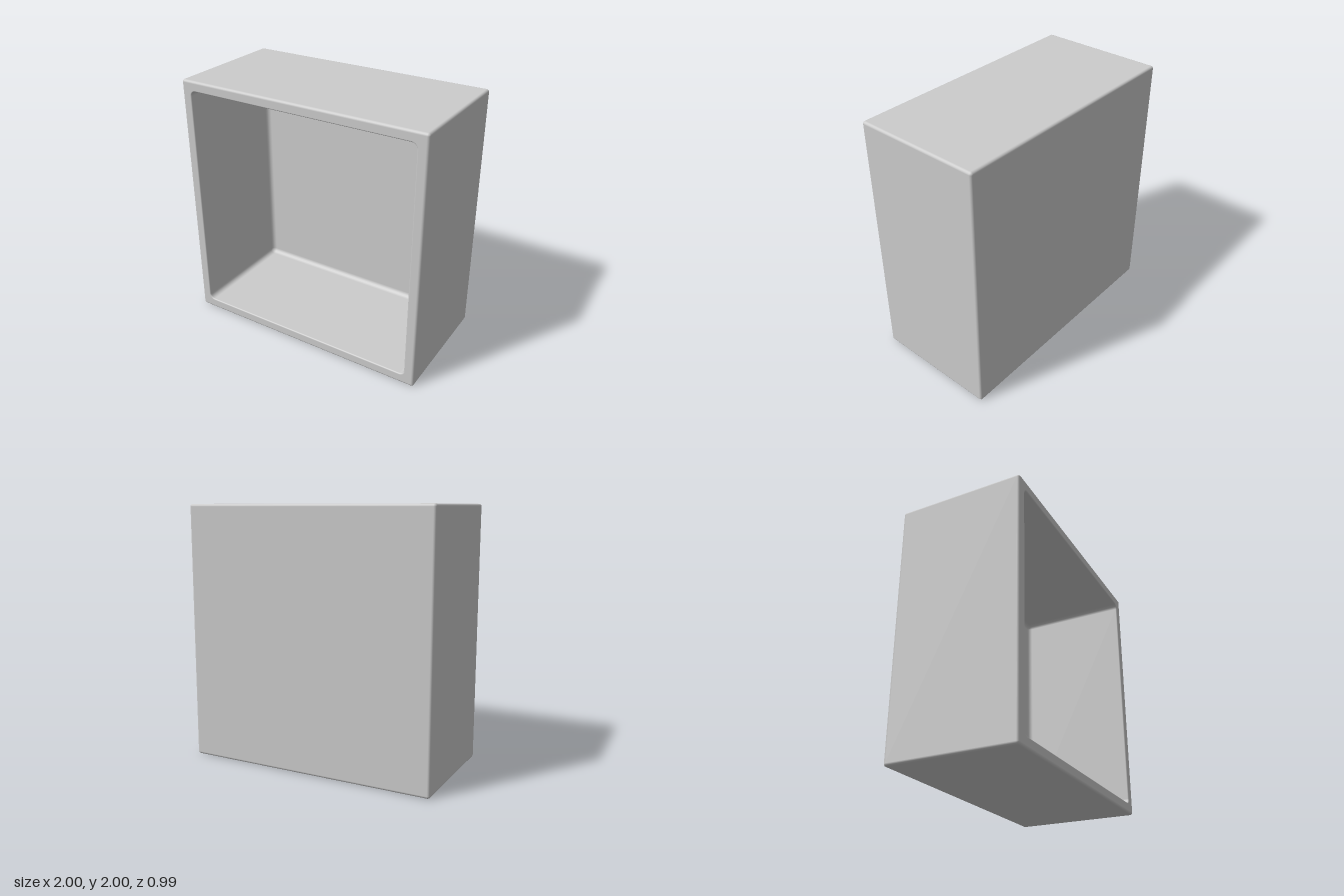
import * as THREE from 'three';

const STEPS = 5; // segments per rounded edge or corner

// Ring of a rounded square: half size h, corner radius r, depth z, profile normal (nr, nz)
const ring = (h, r, z, nr, nz) => ({ h, r, z, nr, nz });

// Quarter-round edge. side +1 is convex, -1 is a hollow fillet (normal faces the arc centre)
function roundEdge(h, r, z, radius, from, to, side) {
  const rings = [];
  for (let i = 0; i <= STEPS; i++) {
    const a = THREE.MathUtils.lerp(from, to, i / STEPS);
    const c = Math.cos(a), s = Math.sin(a);
    rings.push(ring(h + radius * c, r + radius * c, z + radius * s, side * c, side * s));
  }
  return rings;
}

// Skin a list of rings into one surface with exact smooth normals
function skin(rings) {
  const position = [], normal = [], index = [];
  const count = 4 * (STEPS + 1);
  for (const { h, r, z, nr, nz } of rings) {
    for (let k = 0; k < 4; k++) {
      const mid = (k + 0.5) * Math.PI / 2;
      const cx = Math.sign(Math.cos(mid)) * (h - r), cy = Math.sign(Math.sin(mid)) * (h - r);
      for (let i = 0; i <= STEPS; i++) {
        const a = (k + i / STEPS) * Math.PI / 2;
        position.push(cx + r * Math.cos(a), cy + r * Math.sin(a), z);
        normal.push(nr * Math.cos(a), nr * Math.sin(a), nz);
      }
    }
  }
  for (let i = 0; i < rings.length - 1; i++) {
    for (let j = 0; j < count; j++) {
      const a = i * count + j, b = i * count + (j + 1) % count;
      index.push(a, b, a + count, b, b + count, a + count);
    }
  }
  const geometry = new THREE.BufferGeometry();
  geometry.setAttribute('position', new THREE.Float32BufferAttribute(position, 3));
  geometry.setAttribute('normal', new THREE.Float32BufferAttribute(normal, 3));
  geometry.setIndex(index);
  return geometry;
}

export function createModel() {
  const group = new THREE.Group();
  group.name = 'openBox';
  const Q = Math.PI / 2;
  const depth = 0.495, edge = 0.02;         // outer half depth and edge rounding
  const inner = 0.92, corner = 0.04;        // opening half size and corner radius
  const lip = 0.01, floorZ = -0.41, fillet = 0.04;

  const rings = [
    ring(0, 0, -depth, 0, -1),                                                    // back centre
    ...roundEdge(1 - edge, 0, -depth + edge, edge, -Q, 0, 1),                     // outer back edge
    ...roundEdge(1 - edge, 0, depth - edge, edge, 0, Q, 1),                       // outer front edge
    ...roundEdge(inner + lip, corner + lip, depth - lip, lip, Q, 2 * Q, 1),       // opening lip
    ...roundEdge(inner - fillet, 0, floorZ + fillet, fillet, 0, -Q, -1),          // inside back fillet
    ring(0, 0, floorZ, 0, 1),                                                     // inside back centre
  ];

  const box = new THREE.Mesh(skin(rings), new THREE.MeshStandardMaterial({ color: 0xcccccc }));
  box.name = 'boxShell';
  box.position.y = 1;
  group.add(box);
  return group;
}
